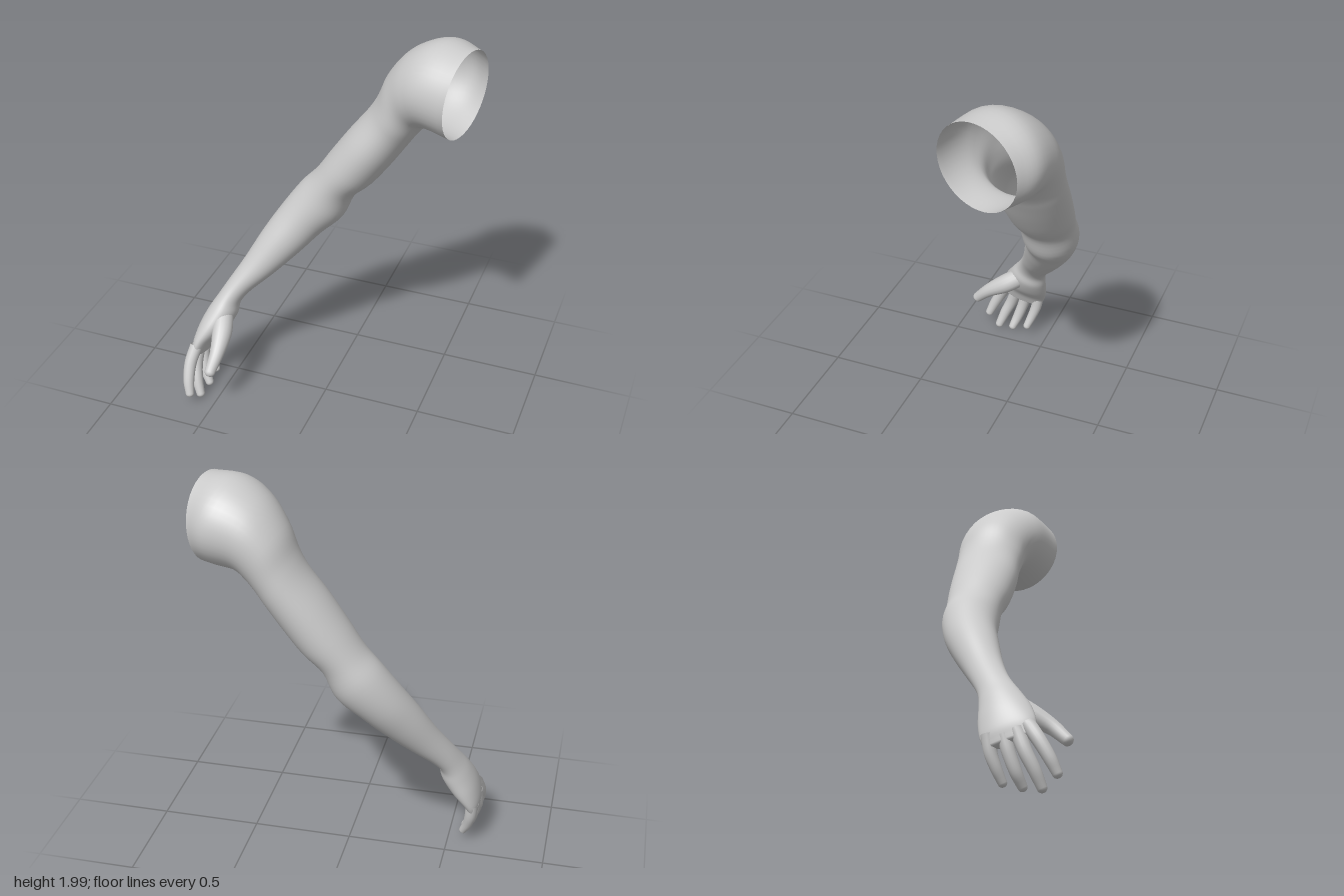
import * as THREE from 'three';

const V = (x, y, z) => new THREE.Vector3(x, y, z);
const material = new THREE.MeshStandardMaterial({ color: 0xcccccc, side: THREE.DoubleSide });

// Smooth skin through elliptical sections { c, a, b }, rounded off at the far end
function loft(name, sections, sides, steps, capDepth) {
  const path = key => new THREE.CatmullRomCurve3(sections.map(s => s[key]), false, 'catmullrom', 0.5);
  const [C, A, B] = ['c', 'a', 'b'].map(path);
  const count = (sections.length - 1) * steps;
  const rings = [];
  for (let i = 0; i <= count; i++) {
    const t = i / count;
    rings.push([C.getPoint(t), A.getPoint(t), B.getPoint(t)]);
  }
  const [c, a, b] = rings[count];
  const out = a.clone().cross(b).normalize();
  for (let k = 1; k <= 6; k++) {
    const w = (k / 6) * Math.PI / 2;
    const s = Math.max(Math.cos(w), 0.001);
    rings.push([c.clone().addScaledVector(out, capDepth * Math.sin(w)),
      a.clone().multiplyScalar(s), b.clone().multiplyScalar(s)]);
  }
  const positions = [], index = [];
  rings.forEach(([rc, ra, rb], i) => {
    for (let j = 0; j < sides; j++) {
      const w = (j / sides) * Math.PI * 2;
      const p = rc.clone().addScaledVector(ra, Math.cos(w)).addScaledVector(rb, Math.sin(w));
      positions.push(p.x, p.y, p.z);
      if (i === rings.length - 1) continue;
      const n = (j + 1) % sides, r = i * sides, q = r + sides;
      index.push(r + j, r + n, q + j, r + n, q + n, q + j);
    }
  });
  const geometry = new THREE.BufferGeometry();
  geometry.setAttribute('position', new THREE.Float32BufferAttribute(positions, 3));
  geometry.setIndex(index);
  geometry.computeVertexNormals();
  const mesh = new THREE.Mesh(geometry, material);
  mesh.name = name;
  return mesh;
}

const tangentAt = (pts, i) =>
  pts[Math.min(i + 1, pts.length - 1)].clone().sub(pts[Math.max(i - 1, 0)]).normalize();

// Limb sections: outer x, y, inner x, y, centre z, half depth
const limb = [
  [0.63, 1.99, 0.605, 1.57, -0.11, 0.205],  // open shoulder rim
  [0.48, 2.0, 0.52, 1.58, -0.165, 0.225],
  [0.34, 1.925, 0.45, 1.575, -0.19, 0.205],
  [0.24, 1.8, 0.42, 1.55, -0.205, 0.185],   // armpit
  [0.19, 1.68, 0.38, 1.5, -0.207, 0.175],
  [0.14, 1.59, 0.34, 1.44, -0.208, 0.17],
  [0.05, 1.47, 0.26, 1.32, -0.2, 0.168],
  [-0.04, 1.34, 0.17, 1.2, -0.197, 0.157],
  [-0.12, 1.22, 0.08, 1.11, -0.195, 0.14],
  [-0.2, 1.13, 0.02, 0.98, -0.19, 0.138],   // elbow
  [-0.29, 1.0, -0.08, 0.88, -0.157, 0.125],
  [-0.37, 0.87, -0.18, 0.77, -0.102, 0.11],
  [-0.45, 0.72, -0.3, 0.65, -0.035, 0.09],
  [-0.52, 0.6, -0.4, 0.56, 0.023, 0.079],
  [-0.56, 0.53, -0.445, 0.5, 0.058, 0.082], // wrist
  [-0.6, 0.46, -0.455, 0.44, 0.085, 0.1],
  [-0.635, 0.38, -0.5, 0.36, 0.115, 0.12],
  [-0.655, 0.3, -0.56, 0.29, 0.14, 0.125],
  [-0.655, 0.24, -0.59, 0.235, 0.155, 0.115], // knuckles
];

function limbSections() {
  const centres = limb.map(([ux, uy, lx, ly, z]) => V((ux + lx) / 2, (uy + ly) / 2, z));
  return limb.map(([ux, uy, lx, ly, , depth], i) => {
    const a = V((ux - lx) / 2, (uy - ly) / 2, 0);
    const t = i === 0 ? V(-0.97, 0, -0.24) : tangentAt(centres, i);
    return { c: centres[i], a, b: t.cross(a).setLength(depth) };
  });
}

// Digit sections: x, y, z, radius
const digits = {
  thumb: [[-0.51, 0.45, 0.12, 0.05], [-0.485, 0.395, 0.205, 0.05],
    [-0.475, 0.335, 0.295, 0.036], [-0.485, 0.265, 0.365, 0.027]],
  indexFinger: [[-0.62, 0.3, 0.23, 0.033], [-0.635, 0.22, 0.28, 0.031],
    [-0.63, 0.14, 0.323, 0.028], [-0.615, 0.077, 0.35, 0.022]],
  middleFinger: [[-0.625, 0.28, 0.185, 0.034], [-0.63, 0.18, 0.22, 0.031],
    [-0.615, 0.1, 0.255, 0.028], [-0.59, 0.03, 0.28, 0.022]],
  ringFinger: [[-0.625, 0.26, 0.13, 0.033], [-0.622, 0.18, 0.15, 0.03],
    [-0.605, 0.1, 0.175, 0.027], [-0.577, 0.045, 0.195, 0.021]],
  littleFinger: [[-0.622, 0.27, 0.06, 0.032], [-0.615, 0.19, 0.07, 0.029],
    [-0.6, 0.125, 0.09, 0.025], [-0.577, 0.07, 0.11, 0.02]],
};

function digitSections(rows) {
  const centres = rows.map(([x, y, z]) => V(x, y, z));
  return rows.map(([, , , r], i) => {
    const t = tangentAt(centres, i);
    const a = V(-1, 0, 0).projectOnPlane(t).setLength(r);
    return { c: centres[i], a, b: t.cross(a).setLength(r) };
  });
}

export function createModel() {
  const group = new THREE.Group();
  group.name = 'arm';
  // Shoulder to palm in one skin, open at the shoulder
  group.add(loft('armAndPalm', limbSections(), 40, 5, 0.02));
  // Thumb and fingers
  const fingers = new THREE.Group();
  fingers.name = 'digits';
  for (const [name, rows] of Object.entries(digits)) {
    fingers.add(loft(name, digitSections(rows), 16, 5, rows[3][3] * 0.9));
  }
  group.add(fingers);
  return group;
}
